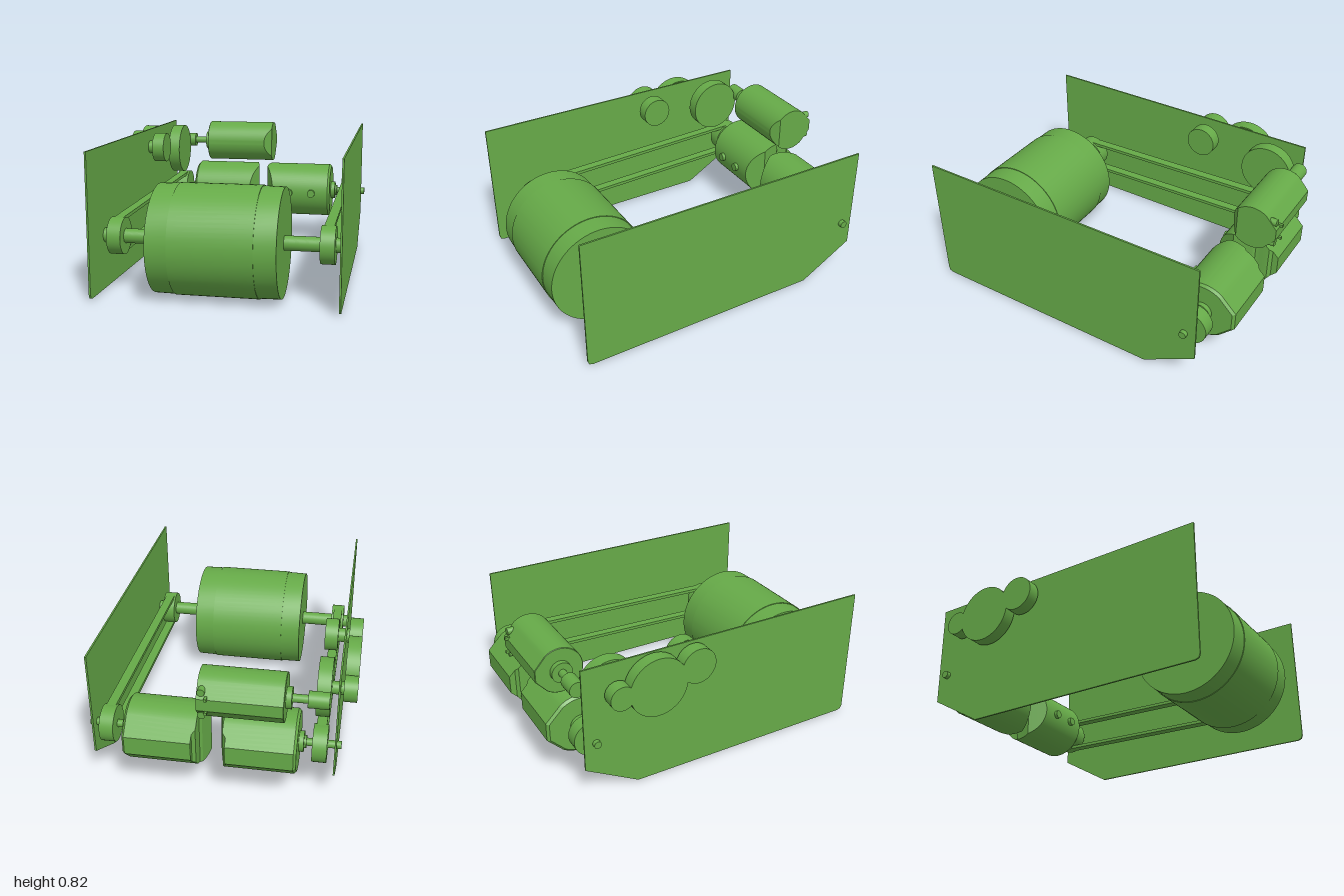
import * as THREE from 'three';
import { toCreasedNormals } from 'three/addons/utils/BufferGeometryUtils.js';

const material = new THREE.MeshStandardMaterial({ color: 0x66aa48 });
const MID = 0.03; // mirror plane of the two drive sides

function add(parent, name, geometry, x = 0, y = 0, z = 0) {
  const mesh = new THREE.Mesh(geometry, material);
  mesh.name = name;
  mesh.position.set(x, y, z);
  parent.add(mesh);
  return mesh;
}

// Cylinder lying along x from x0 to x1
function rod(parent, name, x0, x1, r, y, z, sides = 48) {
  const g = new THREE.CylinderGeometry(r, r, x1 - x0, sides).rotateZ(Math.PI / 2);
  return add(parent, name, g, (x0 + x1) / 2, y, z);
}

// Cylinder pointing along z
function stud(parent, name, x, y, z0, z1, r) {
  const g = new THREE.CylinderGeometry(r, r, z1 - z0, 24).rotateX(Math.PI / 2);
  return add(parent, name, g, x, y, (z0 + z1) / 2);
}

// Piecewise linear lookup through [input, output] pairs
function lookup(pairs, v) {
  for (let i = 1; i < pairs.length; i++) {
    const [a, fa] = pairs[i - 1], [b, fb] = pairs[i];
    if (v <= b) return fa + (fb - fa) * Math.max(0, (v - a) / (b - a));
  }
  return pairs[pairs.length - 1][1];
}

// Motor housing along x: round in front, flat facets at the back,
// with the inner end trimmed by a depth that depends on z
function motorGeometry(r, facets, x0, x1, bevel, cuts) {
  const half = [];
  const [fz, fy] = facets[0];
  const last = Math.PI - Math.atan2(fy, -fz);
  const steps = 30;
  for (let i = 0; i <= steps; i++) {
    const a = (last * i) / steps;
    half.push([r * Math.cos(a), r * Math.sin(a)]);
  }
  for (let f = 1; f < facets.length; f++) {
    for (let s = 1; s <= 5; s++) {
      const t = s / 5;
      half.push([
        THREE.MathUtils.lerp(facets[f - 1][0], facets[f][0], t),
        THREE.MathUtils.lerp(facets[f - 1][1], facets[f][1], t)]);
    }
  }
  const ring = [...half, ...half.slice(1).reverse().map(([z, y]) => [z, -y])];
  const n = ring.length;
  const rings = [
    ring.map(([z, y]) => [x0, y * (1 - bevel / r), z * (1 - bevel / r)]),
    ring.map(([z, y]) => [x0 + bevel, y, z]),
    ring.map(([z, y]) => [x1 - lookup(cuts, -z), y, z])];
  const pos = [];
  const quad = (a, b, c, d) => pos.push(...a, ...b, ...c, ...a, ...c, ...d);
  for (let k = 0; k < 2; k++) {
    for (let i = 0; i < n; i++) {
      const j = (i + 1) % n;
      quad(rings[k][i], rings[k + 1][i], rings[k + 1][j], rings[k][j]);
    }
  }
  // Caps: strips joining the upper and lower halves
  const [outer, , inner] = rings;
  for (let i = 0; i < half.length - 1; i++) {
    const p = i, p2 = i + 1, q = (n - i) % n, q2 = (n - i - 1) % n;
    quad(inner[q], inner[q2], inner[p2], inner[p]);
    quad(outer[p], outer[p2], outer[q2], outer[q]);
  }
  const g = new THREE.BufferGeometry();
  g.setAttribute('position', new THREE.Float32BufferAttribute(pos, 3));
  return toCreasedNormals(g, 0.3);
}

const FRONT = { y: 0.315, z: 0.69 };
const REAR = { y: 0.355, z: -0.77 };

function plateGeometry() {
  const s = new THREE.Shape([
    [0.95, 0.82], [-0.84, 0.82], [-0.84, 0.195], [-0.52, 0.01],
    [0.92, 0.01], [0.942, 0.018], [0.95, 0.04]
  ].map(([z, y]) => new THREE.Vector2(-z, y)));
  return new THREE.ExtrudeGeometry(s, { depth: 0.01, bevelEnabled: false })
    .rotateY(Math.PI / 2);
}

// Closed loop belt around two equal pulleys
function beltGeometry(r, thickness, width) {
  const dz = REAR.z - FRONT.z, dy = REAR.y - FRONT.y;
  const length = Math.hypot(dz, dy);
  const loop = (path, radius) => {
    path.absarc(0, 0, radius, Math.PI / 2, Math.PI * 1.5, false);
    path.absarc(length, 0, radius, -Math.PI / 2, Math.PI / 2, false);
    path.closePath();
    return path;
  };
  const s = loop(new THREE.Shape(), r);
  s.holes.push(loop(new THREE.Path(), r - thickness));
  return new THREE.ExtrudeGeometry(s, { depth: width, bevelEnabled: false, curveSegments: 20 })
    .rotateZ(Math.atan2(dy, -dz))
    .rotateY(Math.PI / 2);
}

// Plate, belt drive and drive motor of one side
function driveSide(name) {
  const g = new THREE.Group();
  g.name = name;
  add(g, 'sidePlate', plateGeometry(), -0.65);
  rod(g, 'frontPulley', -0.6, -0.52, 0.105, FRONT.y, FRONT.z);
  rod(g, 'rearPulley', -0.6, -0.52, 0.105, REAR.y, REAR.z);
  add(g, 'driveBelt', beltGeometry(0.103, 0.02, 0.055), -0.588, FRONT.y, FRONT.z);
  rod(g, 'motorShaft', -0.675, -0.44, 0.022, REAR.y, REAR.z, 24);
  rod(g, 'motorCollar', -0.485, -0.47, 0.035, REAR.y, REAR.z);
  rod(g, 'motorHub', -0.472, -0.44, 0.058, REAR.y, REAR.z);
  const facets = [[-0.105, 0.146], [-0.195, 0.055], [-0.195, 0]];
  const cuts = [[-0.18, 0.055], [-0.07, 0], [0.05, 0.03], [0.06, 0.045],
    [0.14, 0.045], [0.15, 0.065]];
  add(g, 'driveMotor', motorGeometry(0.18, facets, -0.445, 0.002, 0.014, cuts),
    0, REAR.y, REAR.z);
  for (const x of [-0.32, -0.165]) stud(g, 'motorTerminal', x, REAR.y, -0.62, -0.57, 0.026);
  return g;
}

export function createModel() {
  const model = new THREE.Group();
  model.name = 'rollerDriveUnit';

  model.add(driveSide('rightDriveSide'));
  const left = driveSide('leftDriveSide');
  left.scale.x = -1;
  left.position.x = 2 * MID;
  model.add(left);

  // Front roller with a slightly larger middle band
  const profile = [[0, -0.35], [0.306, -0.35], [0.308, -0.23], [0.312, -0.23],
    [0.312, 0.23], [0.308, 0.23], [0.306, 0.35], [0, 0.35]]
    .map(([r, x]) => new THREE.Vector2(r, x));
  const roller = toCreasedNormals(new THREE.LatheGeometry(profile, 72).rotateZ(-Math.PI / 2), 0.4);
  add(model, 'roller', roller, MID, FRONT.y, FRONT.z);
  rod(model, 'rollerShaft', -0.645, 0.705, 0.041, FRONT.y, FRONT.z);

  // Upper motor and its pinion
  const upper = new THREE.Group();
  upper.name = 'upperMotorUnit';
  model.add(upper);
  const y = 0.682, z = -0.838;
  const facets = [[-0.08, 0.109], [-0.145, 0.035], [-0.145, 0]];
  add(upper, 'upperMotor',
    motorGeometry(0.135, facets, -0.375, 0.08, 0.003, [[-0.135, 0.05], [-0.095, 0], [0.2, 0]]),
    0, y, z);
  rod(upper, 'upperMotorHub', -0.405, -0.37, 0.06, y, z);
  rod(upper, 'upperMotorShaft', -0.5, -0.4, 0.023, y, z, 24);
  rod(upper, 'pinion', -0.6, -0.488, 0.046, y, z);
  for (const side of [-1, 1]) {
    stud(upper, 'upperTerminal', 0.055, y + side * 0.07, -0.975, -0.91, 0.021);
    add(upper, 'terminalTab', new THREE.BoxGeometry(0.015, 0.016, 0.05),
      0.028, y + side * 0.042, -0.975);
  }

  // Gear train passing through the right plate
  const gears = new THREE.Group();
  gears.name = 'gearTrain';
  model.add(gears);
  rod(gears, 'innerLargeGear', -0.6, -0.525, 0.162, 0.642, -0.645, 64);
  rod(gears, 'gearShaft', -0.67, -0.59, 0.036, 0.642, -0.645);
  rod(gears, 'outerSmallGear', -0.738, -0.663, 0.072, 0.642, -0.645);
  rod(gears, 'outerLargeGear', -0.738, -0.663, 0.175, 0.645, -0.43, 64);
  rod(gears, 'outerFrontGear', -0.738, -0.663, 0.105, 0.705, -0.185);
  rod(gears, 'frontGearShaft', -0.67, -0.59, 0.04, 0.705, -0.185);
  rod(gears, 'innerFrontGear', -0.6, -0.525, 0.092, 0.705, -0.185);

  return model;
}
